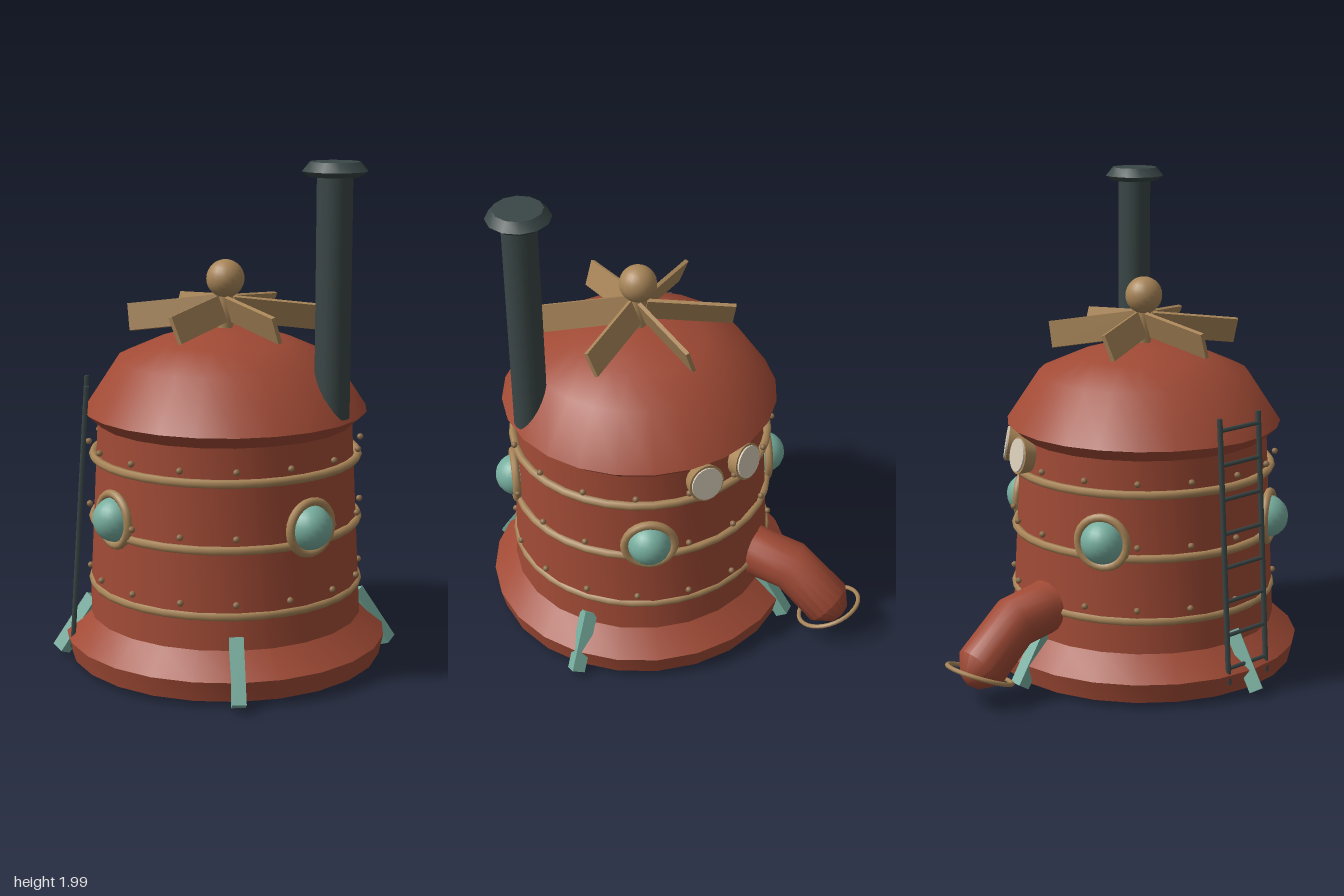
import * as THREE from 'three';
import { toCreasedNormals } from 'three/addons/utils/BufferGeometryUtils.js';

const mat = (name, color) => {
  const m = new THREE.MeshStandardMaterial({ color });
  m.name = name;
  return m;
};

export function createModel() {
  const red = mat('red copper', 0xa04a35);
  const tan = mat('brass', 0xa88558);
  const slate = mat('dark iron', 0x3a4646);
  const teal = mat('teal', 0x76ad9e);
  const cream = mat('lamp cream', 0xd6cab6);
  const rivetTan = mat('rivet brown', 0x8c6c48);

  const model = new THREE.Group();
  model.name = 'boilerHouse';
  // everything round stands on this axis
  const tower = new THREE.Group();
  tower.name = 'tower';
  tower.position.z = 0.158;
  model.add(tower);

  const add = (parent, name, geo, material, x = 0, y = 0, z = 0) => {
    const m = new THREE.Mesh(geo, material);
    m.name = name;
    m.position.set(x, y, z);
    parent.add(m);
    return m;
  };
  const lathe = (pts, sides) => toCreasedNormals(
    new THREE.LatheGeometry(pts.map(p => new THREE.Vector2(...p)), sides), 0.72);
  // group on the tower wall whose +z points outward at the given angle
  const onWall = (name, degrees) => {
    const g = new THREE.Group();
    g.name = name;
    g.rotation.y = THREE.MathUtils.degToRad(degrees);
    tower.add(g);
    return g;
  };
  const bar = (parent, name, a, b, r, material) => {
    const m = add(parent, name, new THREE.CylinderGeometry(r, r, a.distanceTo(b), 6), material);
    m.position.copy(a).lerp(b, 0.5);
    m.quaternion.setFromUnitVectors(new THREE.Vector3(0, 1, 0), b.clone().sub(a).normalize());
    return m;
  };

  // base, wall and domed roof
  add(tower, 'base', lathe([[0, 0.03], [0.625, 0.03], [0.643, 0.11], [0.545, 0.2]], 24), red);
  add(tower, 'wall', lathe([[0.545, 0.2], [0.505, 0.97]], 24), red);
  add(tower, 'roof', lathe([[0.5, 0.965], [0.56, 1.02], [0.428, 1.22], [0.27, 1.29],
    [0.13, 1.33], [0, 1.34]], 24), red);

  // hoops, each with a row of rivets above
  const rivetGeo = new THREE.SphereGeometry(0.013, 8, 6);
  [0.33, 0.585, 0.84].forEach((y, i) => {
    const hoop = add(tower, 'hoop', new THREE.TorusGeometry(0.531 - i * 0.003, 0.017, 6, 36), tan, 0, y);
    hoop.rotation.x = Math.PI / 2;
    for (let k = 0; k < 16; k++) {
      const a = k * Math.PI / 8;
      add(tower, 'rivet', rivetGeo, rivetTan, 0.541 * Math.sin(a), y + 0.048, 0.541 * Math.cos(a));
    }
  });

  // portholes
  for (const angle of [33, 118, 210, 302]) {
    const p = onWall('porthole', angle);
    add(p, 'portholeRing', new THREE.TorusGeometry(0.1, 0.017, 8, 24), tan, 0, 0.645, 0.53);
    add(p, 'portholeGlass', new THREE.SphereGeometry(0.087, 20, 14), teal, 0, 0.645, 0.523);
  }

  // pair of lamps under the rear eaves
  for (const angle of [142, 164]) {
    const g = onWall('lamp', angle);
    const lamp = new THREE.Group();
    lamp.position.set(0, 0.925, 0.555);
    lamp.rotation.x = Math.PI / 2 - 0.17;
    g.add(lamp);
    add(lamp, 'lampHousing', new THREE.CylinderGeometry(0.076, 0.066, 0.05, 20), tan, 0, -0.022);
    add(lamp, 'lampLens', new THREE.CylinderGeometry(0.067, 0.067, 0.008, 20), cream, 0, 0.006);
  }

  // braced feet; the side pair is turned on edge
  for (let k = 0; k < 4; k++) {
    const g = onWall('foot', k * 90);
    const lean = new THREE.Group();
    lean.position.set(0, 0.135, 0.597);
    lean.rotation.x = -0.57;
    g.add(lean);
    const brace = add(lean, 'footBrace', new THREE.BoxGeometry(0.054, 0.255, 0.054), teal);
    brace.rotation.y = k % 2 ? Math.PI / 4 : 0;
  }

  // roof fan
  add(tower, 'fanShaft', new THREE.CylinderGeometry(0.03, 0.03, 0.2, 12), tan, 0, 1.41);
  add(tower, 'fanHub', new THREE.SphereGeometry(0.075, 20, 14), tan, 0, 1.53);
  for (let k = 0; k < 6; k++) {
    const g = new THREE.Group();
    g.name = 'fanBlade';
    g.rotation.y = -THREE.MathUtils.degToRad(4 + k * 60);
    g.position.y = 1.395;
    tower.add(g);
    const blade = add(g, 'blade', new THREE.BoxGeometry(0.35, 0.108, 0.016), tan, 0.205);
    blade.rotation.set(0.35, 0, -0.1, 'ZYX');
  }

  // chimney
  add(model, 'chimney', new THREE.CylinderGeometry(0.068, 0.068, 0.92, 20), slate, 0.383, 1.495, 0.455);
  add(model, 'chimneyCap', lathe([[0, 1.945], [0.098, 1.945], [0.124, 1.965], [0.095, 2], [0, 2]], 12),
    slate, 0.383, 0, 0.455);

  // rear spout: loops of a bent pipe closed by a blunt point
  const loops = [[-0.3, 0.335, 0, 0.118], [-0.39, 0.325, 0.12, 0.105], [-0.53, 0.302, 0.36, 0.105],
    [-0.7, 0.155, 0.68, 0.105], [-0.752, 0.113, 0.68, 0.05], [-0.766, 0.101, 0.68, 0]];
  const sides = 18, pos = [], idx = [];
  loops.forEach(([z, y, tilt, r], i) => {
    for (let j = 0; j <= sides; j++) {
      const a = j / sides * Math.PI * 2, up = r * Math.sin(a);
      pos.push(r * Math.cos(a), y + up * Math.cos(tilt), z - up * Math.sin(tilt));
      if (i && j) {
        const n = i * (sides + 1) + j, m = n - sides - 1;
        idx.push(m - 1, n - 1, m, m, n - 1, n);
      }
    }
  });
  const spout = new THREE.BufferGeometry();
  spout.setAttribute('position', new THREE.Float32BufferAttribute(pos, 3));
  spout.setIndex(idx);
  const spoutMat = red.clone();
  spoutMat.name = 'red copper open';
  spoutMat.side = THREE.DoubleSide;
  add(model, 'spout', toCreasedNormals(spout, 0.72), spoutMat);
  const ring = add(model, 'spoutRing', new THREE.TorusGeometry(0.132, 0.009, 8, 32), tan, 0, 0.13, -0.705);
  ring.rotation.x = Math.PI / 2 + 0.4;

  // ladder leaning on the right side
  const at = (t, z) => new THREE.Vector3(-0.618 + 0.072 * t, 0.07 + 1.06 * t, z);
  for (const z of [0.05, 0.262]) bar(model, 'ladderRail', at(0, z), at(1, z), 0.011, slate);
  for (let k = 0; k < 8; k++) {
    const t = 0.06 + k * 0.128;
    bar(model, 'ladderRung', at(t, 0.05), at(t, 0.262), 0.009, slate);
  }
  return model;
}
